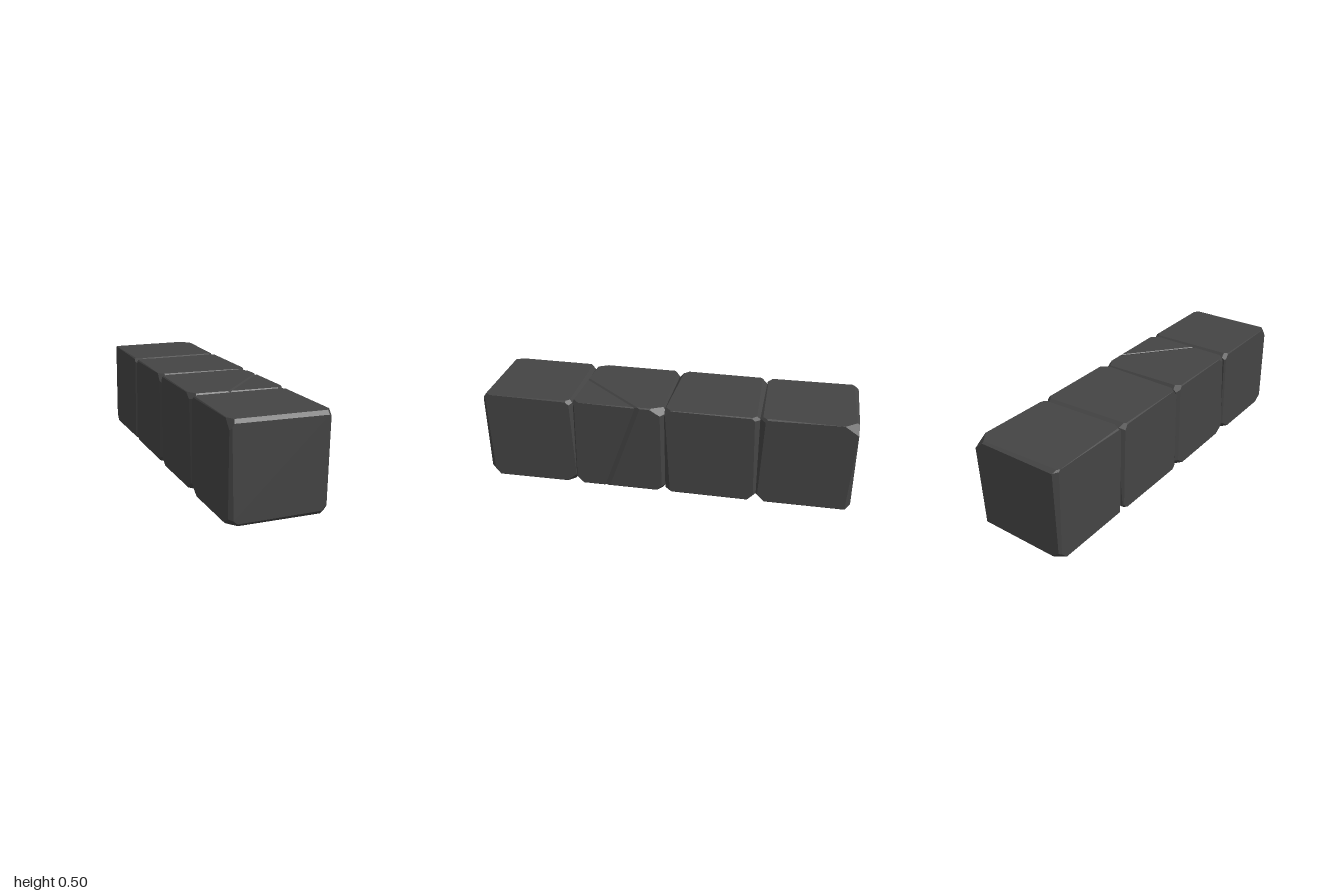
import * as THREE from 'three';
import { ConvexGeometry } from 'three/addons/geometries/ConvexGeometry.js';

const H = 0.25; // half the side of one block
const V = (x, y, z) => new THREE.Vector3(x, y, z);

// Small seeded random source, 0..1
function seeded(seed) {
  let s = seed;
  return () => (s = (s * 16807) % 2147483647) / 2147483647;
}

// A cutting plane: everything on the side its normal points to is removed
const cut = (normal, point) => new THREE.Plane().setFromNormalAndCoplanarPoint(normal.clone().normalize(), point);

// Convex solid left over after all cuts: corners are where three planes meet
function solidFromCuts(cuts) {
  const points = [];
  const cross = V(0, 0, 0);
  for (let i = 0; i < cuts.length; i++)
    for (let j = i + 1; j < cuts.length; j++)
      for (let k = j + 1; k < cuts.length; k++) {
        const [a, b, c] = [cuts[i], cuts[j], cuts[k]];
        const det = a.normal.dot(cross.crossVectors(b.normal, c.normal));
        if (Math.abs(det) < 1e-4) continue;
        const p = cross.clone().multiplyScalar(-a.constant)
          .addScaledVector(V(0, 0, 0).crossVectors(c.normal, a.normal), -b.constant)
          .addScaledVector(V(0, 0, 0).crossVectors(a.normal, b.normal), -c.constant)
          .divideScalar(det);
        if (cuts.every(q => q.distanceToPoint(p) < 1e-6) && !points.some(q => q.distanceTo(p) < 5e-4)) points.push(p);
      }
  return new ConvexGeometry(points);
}

// Faces of a cube with unevenly chipped edges and corners
function roughCubeCuts(seed) {
  const rand = seeded(seed);
  for (let i = 0; i < 5; i++) rand();
  const jitter = a => (rand() * 2 - 1) * a;
  const cuts = [];
  for (let x = -1; x <= 1; x++)
    for (let y = -1; y <= 1; y++)
      for (let z = -1; z <= 1; z++) {
        const sides = Math.abs(x) + Math.abs(y) + Math.abs(z);
        if (sides === 0) continue;
        const n = V(x, y, z);
        let inset = 0;
        if (sides === 2) {
          // edges along the row stay crisp, those at the joints are worn more
          const joint = z !== 0;
          inset = joint ? 0.004 + rand() * 0.007 : 0.002;
          const along = joint ? 0.06 : 0.02;
          n.add(V(x ? jitter(0.4) : jitter(along), y ? jitter(0.4) : jitter(along), z ? jitter(0.4) : jitter(along)));
        } else if (sides === 3) {
          inset = 0.011 + rand() * 0.009;
          n.add(V(jitter(0.35), jitter(0.35), jitter(0.35)));
        }
        cuts.push(cut(n, V(x, y, z).multiplyScalar(H - inset)));
      }
  return cuts;
}

export function createModel() {
  const group = new THREE.Group();
  const stone = new THREE.MeshStandardMaterial({ color: 0x444444, flatShading: true });

  function addStone(name, cuts, z) {
    const mesh = new THREE.Mesh(solidFromCuts(cuts), stone);
    mesh.name = name;
    mesh.position.set(0, H, z);
    group.add(mesh);
  }

  // Whole blocks
  addStone('frontBlock', roughCubeCuts(1201), 0.75);
  addStone('innerBackBlock', roughCubeCuts(5417), -0.25);
  addStone('backBlock', roughCubeCuts(9133), -0.75);

  // Block split by a slanting crack into a large piece and a corner wedge
  const crackNormal = V(0.175, 0.054, 0.15).normalize();
  const crackPoint = V(H, H, -0.1);
  const blockCuts = roughCubeCuts(3319);
  for (const [name, side] of [['crackedBlock', 1], ['crackedCorner', -1]]) {
    const n = crackNormal.clone().multiplyScalar(side);
    const p = crackPoint.clone().addScaledVector(n, -0.002);
    // chipped rims of the crack on the top and on the left face
    const rims = [V(0, 1, 0), V(1, 0, 0)].map(face =>
      cut(n.clone().add(face), p.clone().addScaledVector(n, -0.003).addScaledVector(face, -0.003)));
    addStone(name, [...blockCuts, cut(n, p), ...rims], 0.25);
  }
  return group;
}
